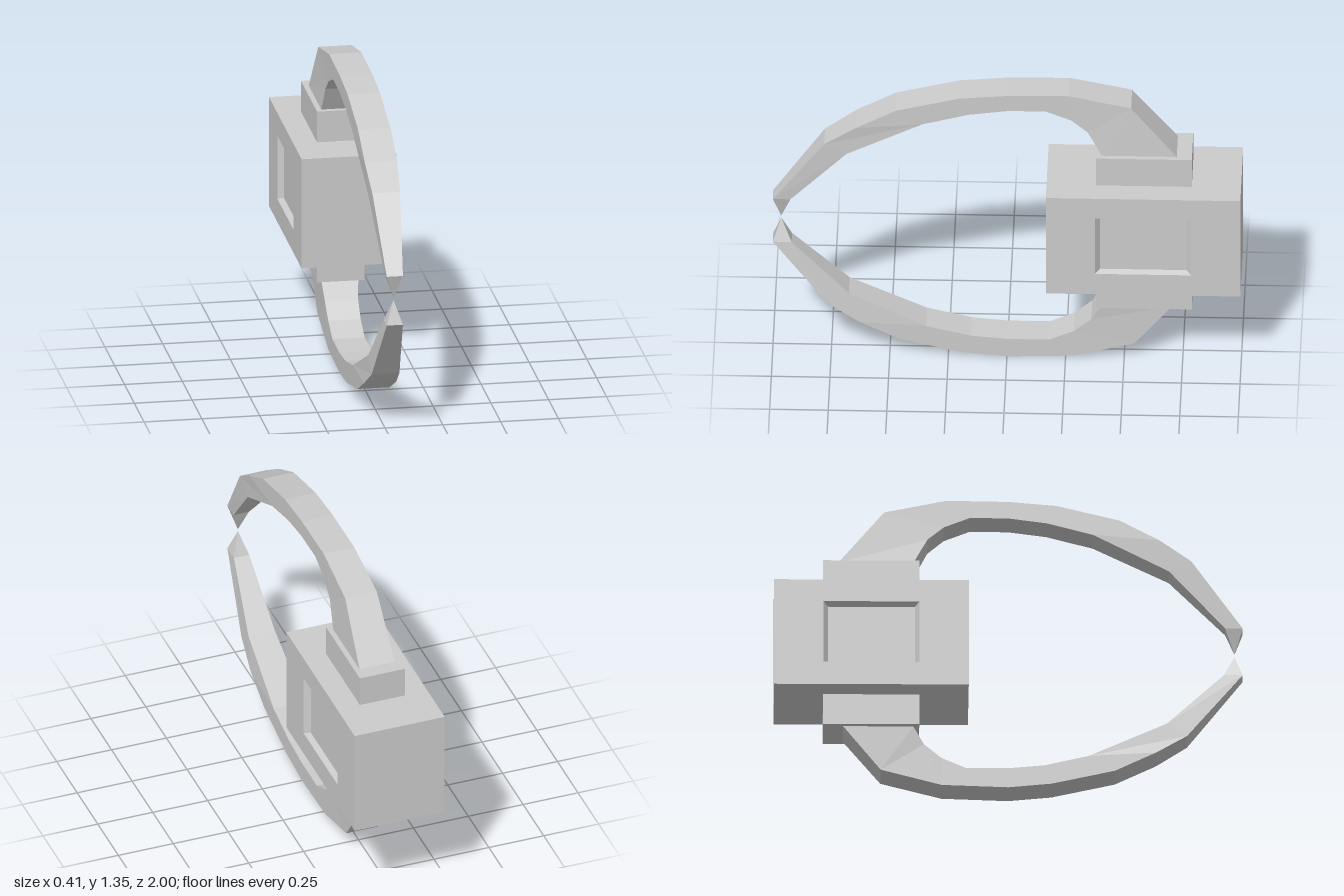
import * as THREE from 'three';

const material = new THREE.MeshStandardMaterial({ color: 0xcccccc, flatShading: true });

// Skin a list of four-cornered rings (counter-clockwise about the travel direction) and cap both ends.
function loft(rings) {
  const positions = [];
  const tri = (a, b, c) => {
    if (new THREE.Triangle(a, b, c).getArea() > 1e-9) {
      for (const p of [a, b, c]) positions.push(p.x, p.y, p.z);
    }
  };
  const quad = (a, b, c, d) => { tri(a, b, c); tri(a, c, d); };
  for (let i = 0; i < rings.length - 1; i++) {
    for (let j = 0; j < 4; j++) {
      const k = (j + 1) % 4;
      quad(rings[i][j], rings[i][k], rings[i + 1][k], rings[i + 1][j]);
    }
  }
  quad(...[...rings[0]].reverse());
  quad(...rings[rings.length - 1]);
  const geometry = new THREE.BufferGeometry();
  geometry.setAttribute('position', new THREE.Float32BufferAttribute(positions, 3));
  geometry.computeVertexNormals();
  return geometry;
}

// Rectangle in a plane of constant x.
function sideRect(x, z0, z1, y0, y1) {
  return [[z0, y1], [z1, y1], [z1, y0], [z0, y0]].map(([z, y]) => new THREE.Vector3(x, y, z));
}

// Curved claw: rows of outer [z, y] and inner [z, y] edges, with a half width for each row.
const halfWidths = [0.08, 0.072, 0.07, 0.07, 0.07, 0.07, 0.07, 0.06, 0.035, 0];
function claw(rows, up) {
  return loft(rows.map(([oz, oy, iz, iy], i) => {
    const w = halfWidths[i] * up;
    return [
      new THREE.Vector3(w, oy, oz), new THREE.Vector3(-w, oy, oz),
      new THREE.Vector3(-w, iy, iz), new THREE.Vector3(w, iy, iz),
    ];
  }));
}

const upperRows = [
  [-0.725, 1.05, -0.405, 1.05],
  [-0.53, 1.29, -0.345, 1.163],
  [-0.265, 1.347, -0.275, 1.222],
  [0, 1.343, -0.163, 1.267],
  [0.205, 1.325, 0, 1.265],
  [0.475, 1.257, 0.163, 1.243],
  [0.645, 1.165, 0.36, 1.19],
  [0.78, 1.072, 0.685, 1.024],
  [1, 0.768, 0.925, 0.768],
  [0.965, 0.66, 0.965, 0.66],
];
const lowerRows = [
  [-0.705, 0.28, -0.405, 0.28],
  [-0.545, 0.08, -0.36, 0.2],
  [-0.285, 0.01, -0.285, 0.137],
  [0, 0, -0.18, 0.09],
  [0.185, 0.018, 0, 0.09],
  [0.455, 0.08, 0.153, 0.104],
  [0.63, 0.166, 0.345, 0.15],
  [0.763, 0.25, 0.675, 0.307],
  [1, 0.548, 0.92, 0.548],
  [0.965, 0.65, 0.965, 0.65],
];

export function createModel() {
  const model = new THREE.Group();
  const add = (name, geometry) => {
    const mesh = new THREE.Mesh(geometry, material);
    mesh.name = name;
    model.add(mesh);
    return mesh;
  };

  // Block body with a shallow bevelled recess in each side
  const half = 0.205, floor = 0.18;
  const bottom = (x) => sideRect(x, -0.77, -0.4, 0.535, 0.795);
  const rim = (x) => sideRect(x, -0.79, -0.38, 0.525, 0.81);
  const block = (x) => sideRect(x, -1, -0.17, 0.42, 0.912);
  add('body', loft([
    bottom(-floor), rim(-half), block(-half),
    block(half), rim(half), bottom(floor),
  ]));

  // Collars joining the claws to the body
  for (const [name, y] of [['upperCollar', 0.98], ['lowerCollar', 0.35]]) {
    add(name, new THREE.BoxGeometry(0.205, 0.14, 0.41)).position.set(0, y, -0.585);
  }

  // Pair of claws meeting at the front
  add('upperClaw', claw(upperRows, 1));
  add('lowerClaw', claw(lowerRows, -1));
  return model;
}
